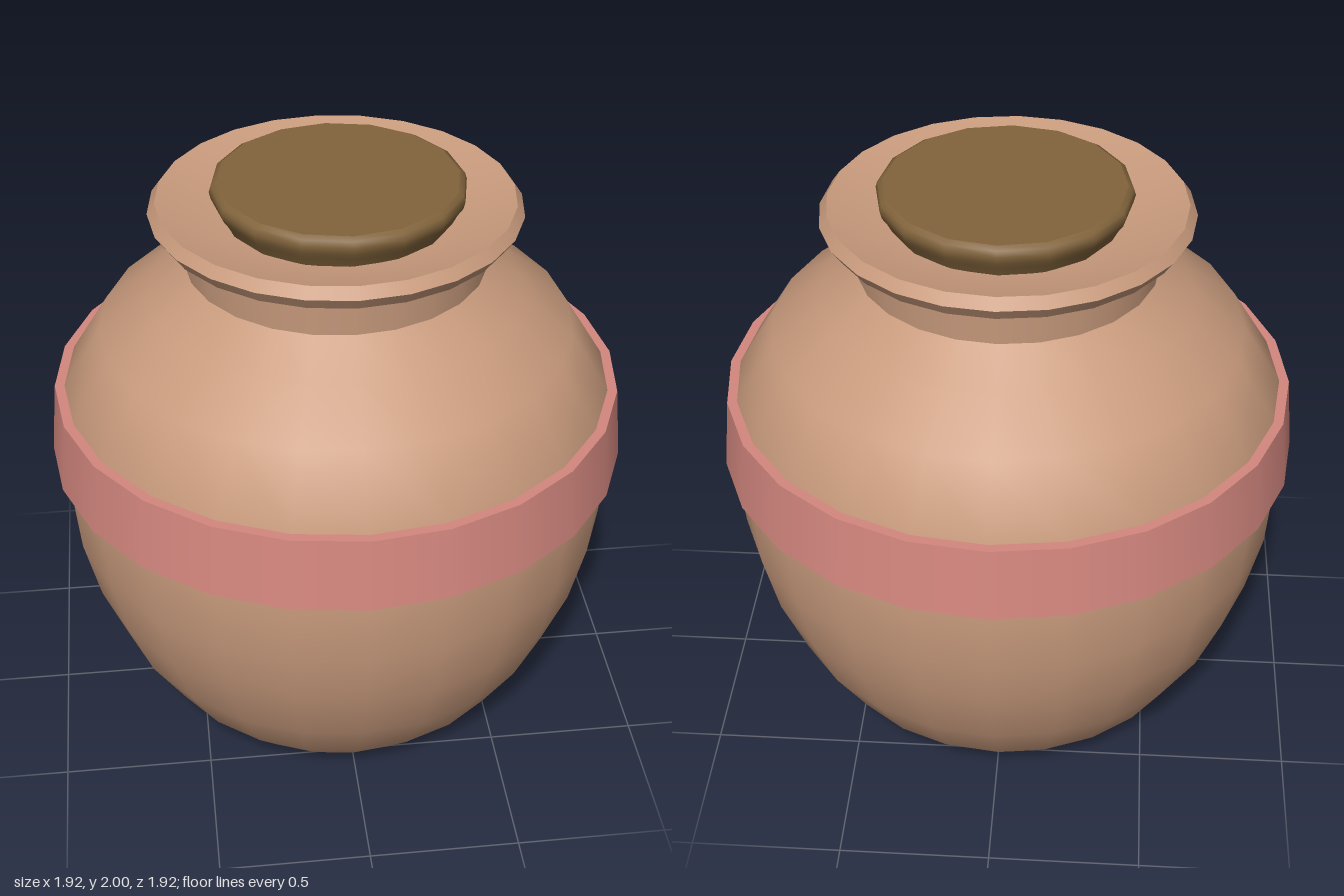
import * as THREE from 'three';
import { mergeGeometries } from 'three/addons/utils/BufferGeometryUtils.js';

// Lathe built from several profile runs: smooth inside a run, sharp between runs
function turned(name, color, segments, runs) {
  const parts = runs.map((run) =>
    new THREE.LatheGeometry(run.map(([r, y]) => new THREE.Vector2(r, y)), segments));
  const mesh = new THREE.Mesh(mergeGeometries(parts), new THREE.MeshStandardMaterial({ color }));
  mesh.name = name;
  return mesh;
}

export function createModel() {
  const clay = 0xc99b7d;
  const group = new THREE.Group();
  group.name = 'jar';

  // Base disc, round belly and shoulder
  group.add(turned('body', clay, 24, [
    [[0, 0], [0.52, 0]],
    [[0.52, 0], [0.66, 0.15], [0.78, 0.35], [0.865, 0.57], [0.915, 0.79], [0.932, 1.04],
      [0.905, 1.285], [0.775, 1.495], [0.61, 1.615], [0.488, 1.72]],
  ]));

  // Straight neck
  group.add(turned('neck', clay, 24, [[[0.488, 1.72], [0.498, 1.865]]]));

  // Flared lip with a shallow funnel inside
  group.add(turned('rim', clay, 24, [
    [[0.49, 1.862], [0.568, 1.862]],
    [[0.568, 1.862], [0.597, 1.905]],
    [[0.597, 1.905], [0.572, 1.94]],
    [[0.572, 1.94], [0.36, 1.885], [0, 1.875]],
  ]));

  // Raised band round the widest part
  group.add(turned('band', 0xd4877f, 24, [
    [[0.92, 1.04], [0.962, 1.04]],
    [[0.962, 1.04], [0.937, 1.285]],
    [[0.937, 1.285], [0.895, 1.285]],
  ]));

  // Stopper with a rounded edge
  const stopper = turned('stopper', 0x82643c, 16, [
    [[0.36, 1.87], [0.385, 1.92], [0.402, 1.945], [0.408, 1.97], [0.402, 1.99], [0.385, 2]],
    [[0.385, 2], [0, 2]],
  ]);
  stopper.position.x = 0.008;
  group.add(stopper);

  return group;
}
